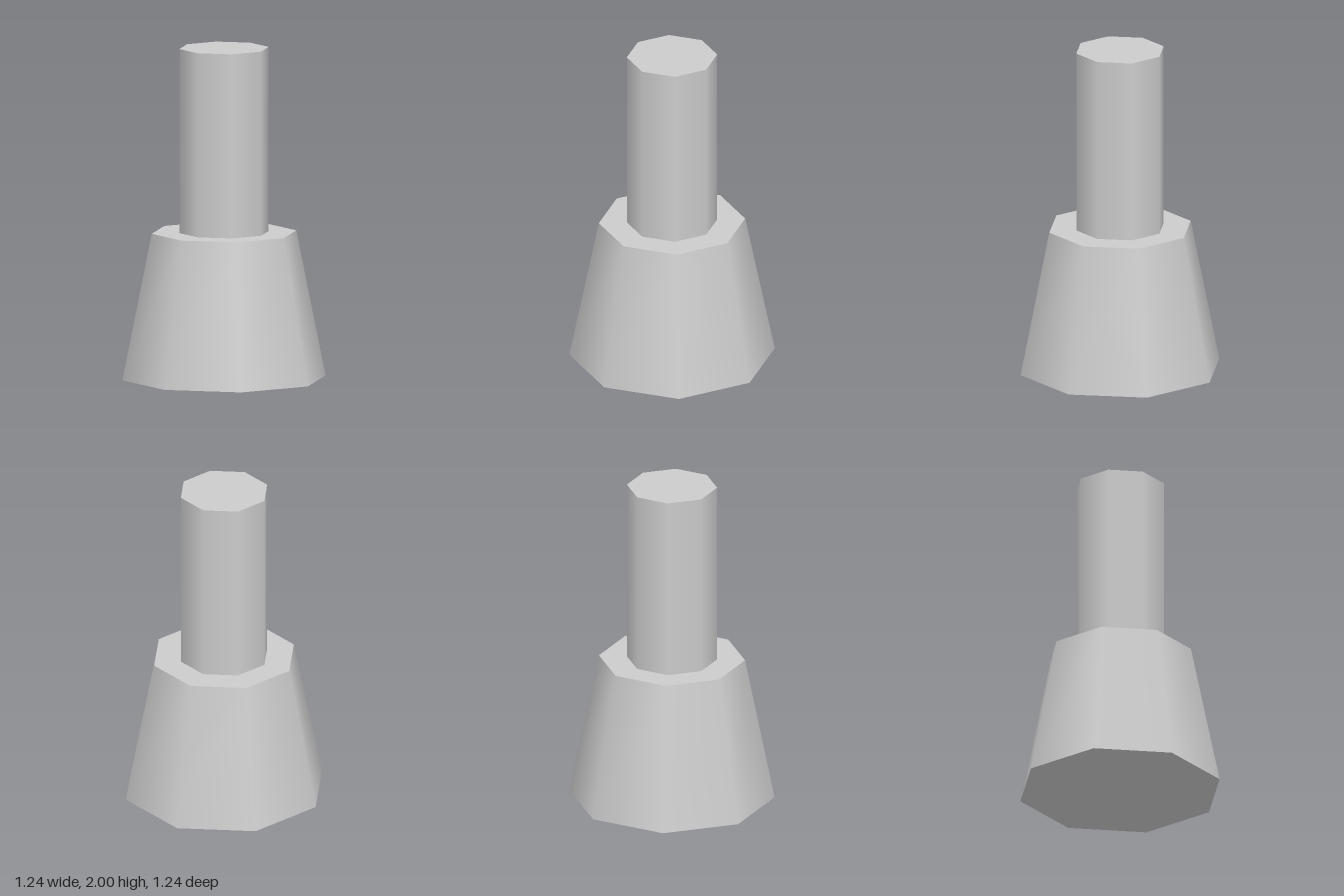
import * as THREE from 'three';

const SIDES = 8;

export function createModel() {
  const model = new THREE.Group();
  model.name = 'steppedPost';
  const material = new THREE.MeshStandardMaterial({ color: 0xcccccc });

  // Eight-sided, smooth-shaded section standing between two heights
  function addSection(name, topRadius, bottomRadius, y0, y1) {
    const geometry = new THREE.CylinderGeometry(topRadius, bottomRadius, y1 - y0, SIDES);
    const mesh = new THREE.Mesh(geometry, material);
    mesh.name = name;
    mesh.position.y = (y0 + y1) / 2;
    model.add(mesh);
  }

  // Wide tapered base, with a straight stem on top
  addSection('taperedBase', 0.44, 0.618, 0, 0.884);
  addSection('stem', 0.272, 0.272, 0.884, 2);

  return model;
}
